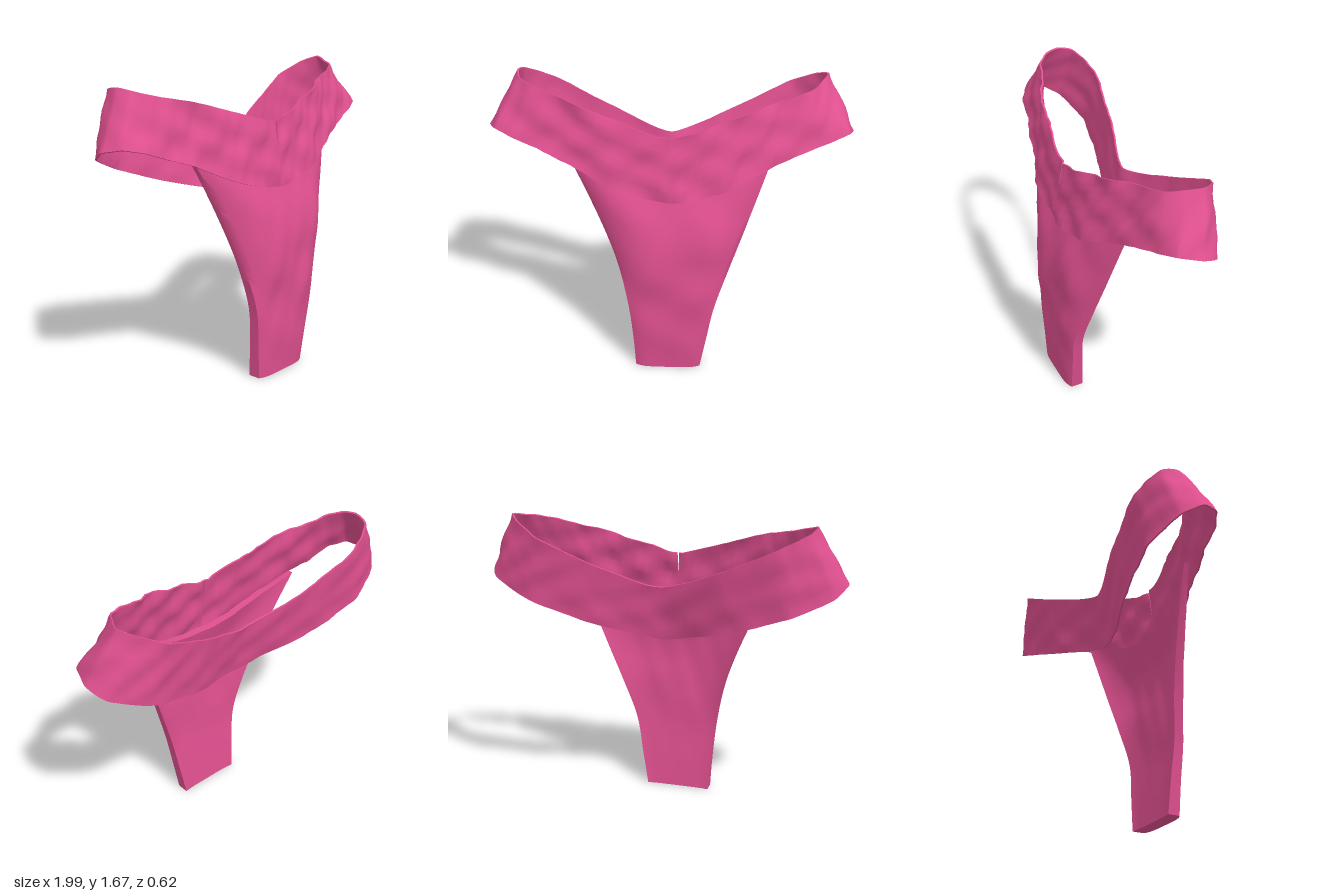
import * as THREE from 'three';
import { toCreasedNormals } from 'three/addons/utils/BufferGeometryUtils.js';

const { lerp, smoothstep } = THREE.MathUtils;
const V = (x, y, z) => new THREE.Vector3(x, y, z);

// Skin a row of closed cross-sections, with both ends capped.
function loft(rings) {
  const n = rings[0].length, pos = [], idx = [];
  rings.forEach(r => r.forEach(p => pos.push(p.x, p.y, p.z)));
  for (let i = 0; i < rings.length - 1; i++) {
    for (let j = 0; j < n; j++) {
      const k = (j + 1) % n;
      const a = i * n + j, b = a + n, c = (i + 1) * n + k, d = i * n + k;
      idx.push(a, b, c, a, c, d);
    }
  }
  // each section runs out along one face and back along the other
  const last = (rings.length - 1) * n;
  for (let j = 0; j < n / 2 - 1; j++) {
    const a = j, b = j + 1, c = n - 2 - j, d = n - 1 - j;
    idx.push(a, b, c, a, c, d);
    idx.push(last + a, last + c, last + b, last + a, last + d, last + c);
  }
  const g = new THREE.BufferGeometry();
  g.setAttribute('position', new THREE.Float32BufferAttribute(pos, 3));
  g.setIndex(idx);
  return toCreasedNormals(g, 0.9);
}

// Irregular cloth folds, roughly in the range -1 to 1.
const folds = (a, b) =>
  0.45 * Math.sin(a * 13 + 2.3 * Math.sin(b * 9)) +
  0.35 * Math.sin(b * 23 + a * 8 + 1.7) +
  0.2 * Math.sin(a * 37 - b * 19);

// Closed curve from front centre round the left side to the back and home by the right side.
function loop(left, right = left) {
  const pts = left.map(p => V(...p));
  right.slice(1, -1).reverse().forEach(([x, y, z]) => pts.push(V(-x, y, z)));
  return new THREE.CatmullRomCurve3(pts, true, 'catmullrom', 0.3);
}

function waistband() {
  const front = [[0, 1.43, 0.19], [0.3, 1.515, 0.15], [0.55, 1.59, 0.07]];
  const back = [[0.35, 1.43, -0.25], [0, 1.31, -0.165]];
  const top = loop(
    [...front, [0.74, 1.635, 0], [0.8, 1.655, -0.08], [0.84, 1.67, -0.17], [0.77, 1.635, -0.24], [0.65, 1.57, -0.3], ...back],
    [...front, [0.74, 1.635, 0], [0.81, 1.66, -0.06], [0.83, 1.67, -0.14], [0.81, 1.65, -0.23], [0.65, 1.57, -0.295], ...back]);
  const bottom = loop([
    [0, 1.075, 0.24], [0.3, 1.14, 0.22], [0.57, 1.265, 0.135], [0.83, 1.36, 0.07], [0.95, 1.395, 0.02],
    [0.99, 1.37, -0.09], [0.93, 1.31, -0.2], [0.73, 1.22, -0.26], [0.4, 1.1, -0.21], [0, 1.005, -0.09]]);
  const rings = [], steps = 150, rows = 10, half = 0.005;
  for (let i = 0; i <= steps; i++) {
    const u = i / steps, t = top.getPoint(u), b = bottom.getPoint(u);
    const along = top.getPoint((u + 0.01) % 1).sub(top.getPoint((u + 0.99) % 1));
    const out = along.cross(t.clone().sub(b)).normalize();
    const end = i === 0 ? 1 : i === steps ? -1 : 0;
    const frontness = smoothstep(t.z, -0.2, 0.1);
    const outer = [], inner = [];
    for (let j = 0; j <= rows; j++) {
      const v = j / rows, p = b.clone().lerp(t, v);
      const w = end ? 0 : folds(p.x * 1.7, p.y * 1.7 + p.z) * (0.008 + 0.01 * frontness);
      // narrow slit at the front centre
      p.x += end * 0.005 * Math.max(0, v - 0.5) * 2;
      outer.push(p.clone().addScaledVector(out, w + half));
      inner.unshift(p.clone().addScaledVector(out, w - half));
    }
    rings.push([...outer, ...inner]);
  }
  return loft(rings);
}

function frontPanel() {
  // height, right edge, left edge, edge depth, front depth, hollowness of the back
  const rows = [
    [0.005, -0.19, 0.18, 0.172, 0.265, 0.1],
    [0.2, -0.202, 0.215, 0.185, 0.28, 0.12],
    [0.42, -0.225, 0.255, 0.198, 0.288, 0.2],
    [0.65, -0.275, 0.33, 0.17, 0.298, 0.45],
    [0.85, -0.345, 0.4, 0.14, 0.298, 0.65],
    [1.1, -0.455, 0.485, 0.103, 0.265, 0.8],
    [1.31, -0.56, 0.555, 0.07, 0.215, 0.8]];
  const curves = [1, 2, 3, 4, 5].map(k =>
    new THREE.SplineCurve(rows.map(r => new THREE.Vector2(r[0], r[k]))));
  const rings = [], steps = 30, cols = 24;
  for (let i = 0; i <= steps; i++) {
    const f = i / steps, y = curves[0].getPoint(f).x;
    const [x0, x1, zEdge, zFront, hollow] = curves.map(c => c.getPoint(f).y);
    const rim = lerp(0.07, 0.03, f);
    const face = [], back = [];
    for (let j = 0; j <= cols; j++) {
      const s = 1 - 2 * j / cols;
      const x = lerp(x0, x1, (s + 1) / 2);
      // the top edge dips in the middle, below the band
      const py = y - 0.19 * (1 - s * s) * smoothstep(y, 0.6, 1.31);
      const bulge = 1 - Math.pow(Math.abs(s), 5 - 2.6 * f);
      const w = folds(x * 1.1 + 0.4, py * 0.7) * 0.016 * bulge * Math.min(1, f * 2.5);
      face.push(V(x, py, zEdge + rim + (zFront - zEdge - rim) * bulge + w));
      back.unshift(V(x, py, zEdge + (zFront - zEdge - 0.02) * hollow * bulge + w * hollow));
    }
    rings.push([...face, ...back]);
  }
  return loft(rings);
}

export function createModel() {
  const group = new THREE.Group();
  const pinkCloth = new THREE.MeshStandardMaterial({ color: 0xe0508f, side: THREE.DoubleSide });
  pinkCloth.name = 'pinkCloth';
  const add = (name, geometry) => {
    const mesh = new THREE.Mesh(geometry, pinkCloth);
    mesh.name = name;
    group.add(mesh);
  };
  add('waistband', waistband());
  add('frontPanel', frontPanel());
  return group;
}
